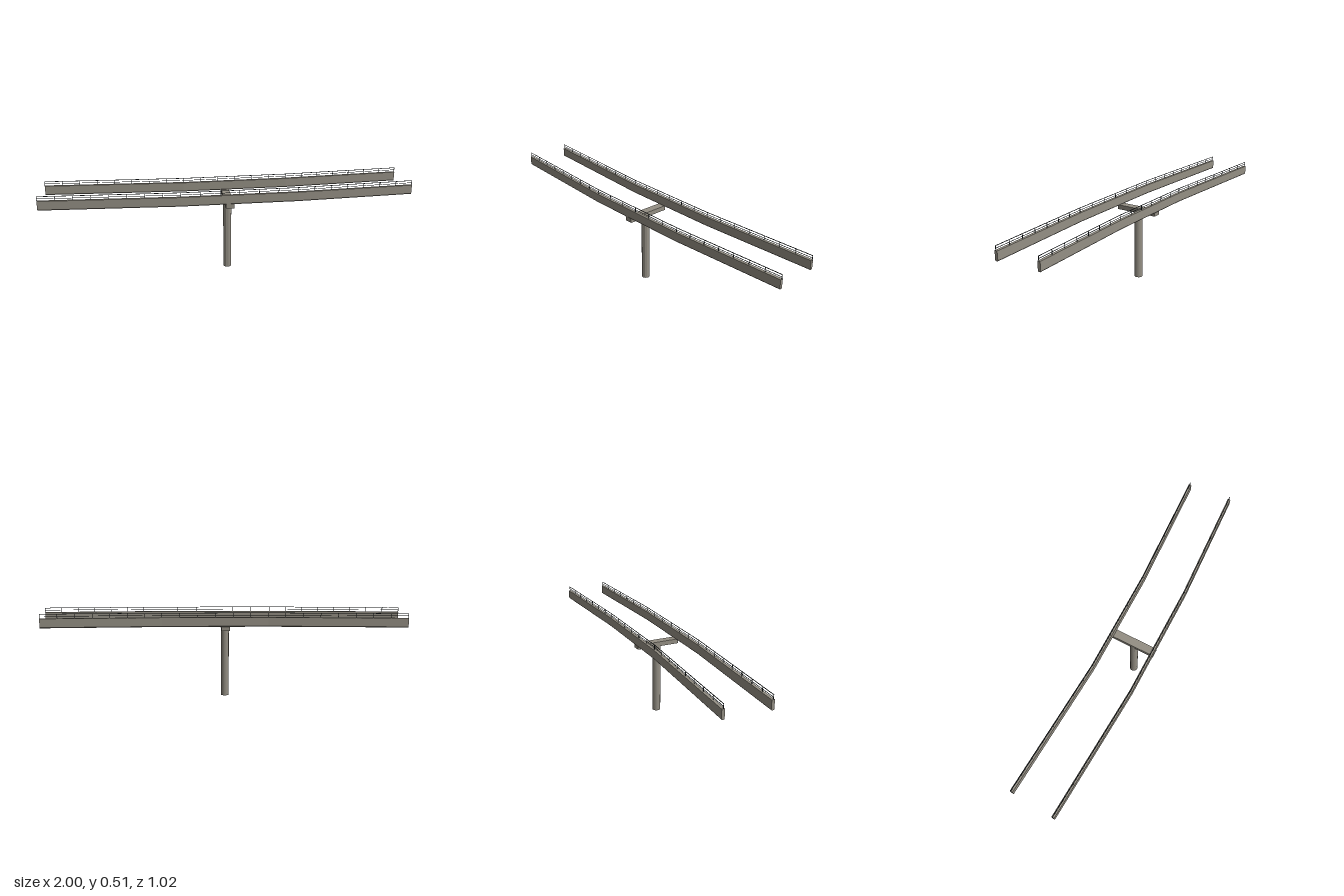
import * as THREE from 'three';

const concrete = new THREE.MeshStandardMaterial({ color: 0x948f84, flatShading: true });
const steel = new THREE.MeshStandardMaterial({ color: 0x252c30, flatShading: true });

// Gentle climb of the track towards +x
const baseY = (x) => 0.4232 + 0.005 * x;

// Convex section [side, height] swept along a plan path [x, z] with mitred corners
function sweep(path, section) {
  const pos = [], index = [];
  const n = section.length, last = path.length - 1;
  const dir = (a, b) => new THREE.Vector2(b[0] - a[0], b[1] - a[1]).normalize();
  path.forEach((p, i) => {
    const before = dir(path[Math.max(i - 1, 0)], path[Math.max(i, 1)]);
    const after = dir(path[Math.min(i, last - 1)], path[Math.min(i + 1, last)]);
    const t = before.clone().add(after).normalize();
    const mitre = 1 / t.dot(before);
    for (const [side, dy] of section) {
      pos.push(p[0] - t.y * mitre * side, baseY(p[0]) + dy, p[1] + t.x * mitre * side);
    }
  });
  for (let i = 0; i < last; i++) {
    for (let k = 0; k < n; k++) {
      const a = i * n + k, b = i * n + (k + 1) % n;
      index.push(a, a + n, b, b, a + n, b + n);
    }
  }
  // end faces
  const e = last * n;
  for (let k = 1; k < n - 1; k++) index.push(0, k, k + 1, e, e + k + 1, e + k);
  const geo = new THREE.BufferGeometry();
  geo.setAttribute('position', new THREE.Float32BufferAttribute(pos, 3));
  geo.setIndex(index);
  const flat = geo.toNonIndexed();
  flat.computeVertexNormals();
  return flat;
}

function addMesh(group, name, geometry, material) {
  const mesh = new THREE.Mesh(geometry, material);
  mesh.name = name;
  group.add(mesh);
  return mesh;
}

const beamTop = 0.0525;
// Beam with chamfered lower edges, and a thin square rail
const beamSection = [[0.005, 0], [0.008, 0.004], [0.008, beamTop], [-0.008, beamTop], [-0.008, 0.004], [-0.005, 0]];
const railSection = (y, r) => [[r, y - r], [r, y + r], [-r, y + r], [-r, y - r]];

// Track beam with two rails and evenly spaced posts
function createTrack(name, path) {
  const track = new THREE.Group();
  track.name = name;
  addMesh(track, 'beam', sweep(path, beamSection), concrete);
  addMesh(track, 'topRail', sweep(path, railSection(beamTop + 0.0245, 0.0013)), steel);
  addMesh(track, 'middleRail', sweep(path, railSection(beamTop + 0.012, 0.001)), steel);

  const postGeo = new THREE.BoxGeometry(0.0025, 0.0245, 0.0025);
  for (let i = 0; i < path.length - 1; i++) {
    const [x0, z0] = path[i], [x1, z1] = path[i + 1];
    const count = Math.round(Math.hypot(x1 - x0, z1 - z0) / 0.1);
    const isLast = i === path.length - 2;
    for (let k = 0; k < count + (isLast ? 1 : 0); k++) {
      const x = THREE.MathUtils.lerp(x0, x1, k / count);
      const z = THREE.MathUtils.lerp(z0, z1, k / count);
      const post = addMesh(track, 'railPost', postGeo, steel);
      post.position.set(x, baseY(x) + beamTop + 0.01225, z);
      post.rotation.y = -Math.atan2(z1 - z0, x1 - x0);
    }
  }
  return track;
}

export function createModel() {
  const model = new THREE.Group();
  model.name = 'elevatedTrack';

  // Twin curved beams
  model.add(createTrack('backTrack', [[-0.997, 0.266], [-0.26, 0.008], [0.286, -0.219], [0.887, -0.502]]));
  model.add(createTrack('frontTrack', [[-0.914, 0.502], [-0.195, 0.248], [0.402, 0], [0.996, -0.281]]));

  // Single round pier
  const pier = addMesh(model, 'pier', new THREE.CylinderGeometry(0.0235, 0.0235, 0.402, 12), concrete);
  pier.position.set(0.007, 0.201, 0.034);

  // Crosshead carrying both beams
  const cap = addMesh(model, 'crosshead', new THREE.BoxGeometry(0.046, 0.026, 0.252), concrete);
  cap.position.set(0.008, 0.412, 0.034);
  cap.rotation.y = 0.395;

  return model;
}
